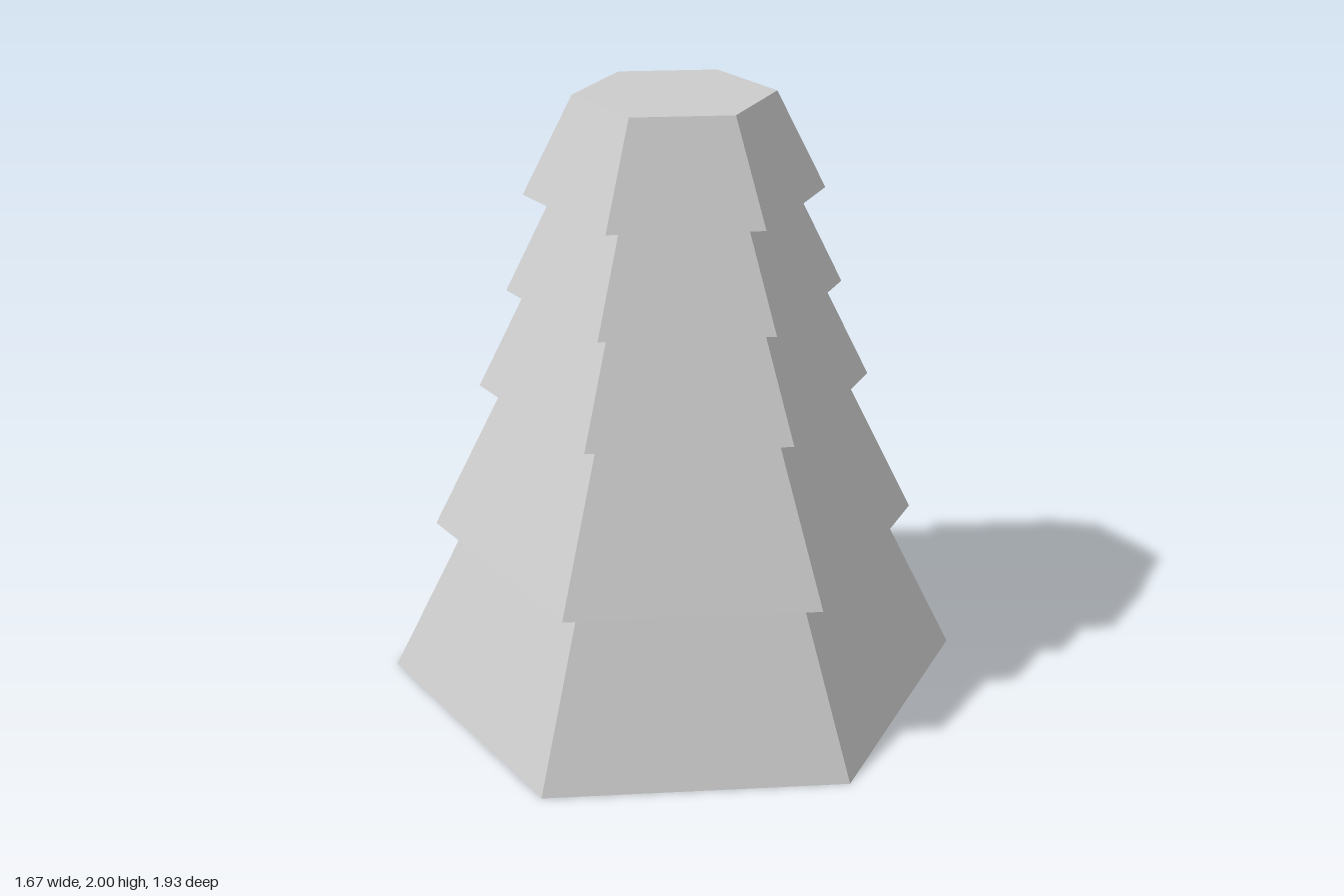
import * as THREE from 'three';

export function createModel() {
  const model = new THREE.Group();
  model.name = 'tieredTree';
  const material = new THREE.MeshStandardMaterial({ color: 0xcccccc, flatShading: true });

  // Stacked six-sided tiers: bottom y, top y, bottom radius, top radius
  const tiers = [
    [0, 0.54, 0.963, 0.698],
    [0.54, 1.037, 0.803, 0.558],
    [1.037, 1.365, 0.639, 0.478],
    [1.365, 1.683, 0.541, 0.385],
    [1.683, 2, 0.479, 0.319],
  ];

  tiers.forEach(([y0, y1, bottom, top], i) => {
    const tier = new THREE.Mesh(new THREE.CylinderGeometry(top, bottom, y1 - y0, 6), material);
    tier.name = `foliageTier${i + 1}`;
    tier.position.y = (y0 + y1) / 2;
    model.add(tier);
  });

  return model;
}
